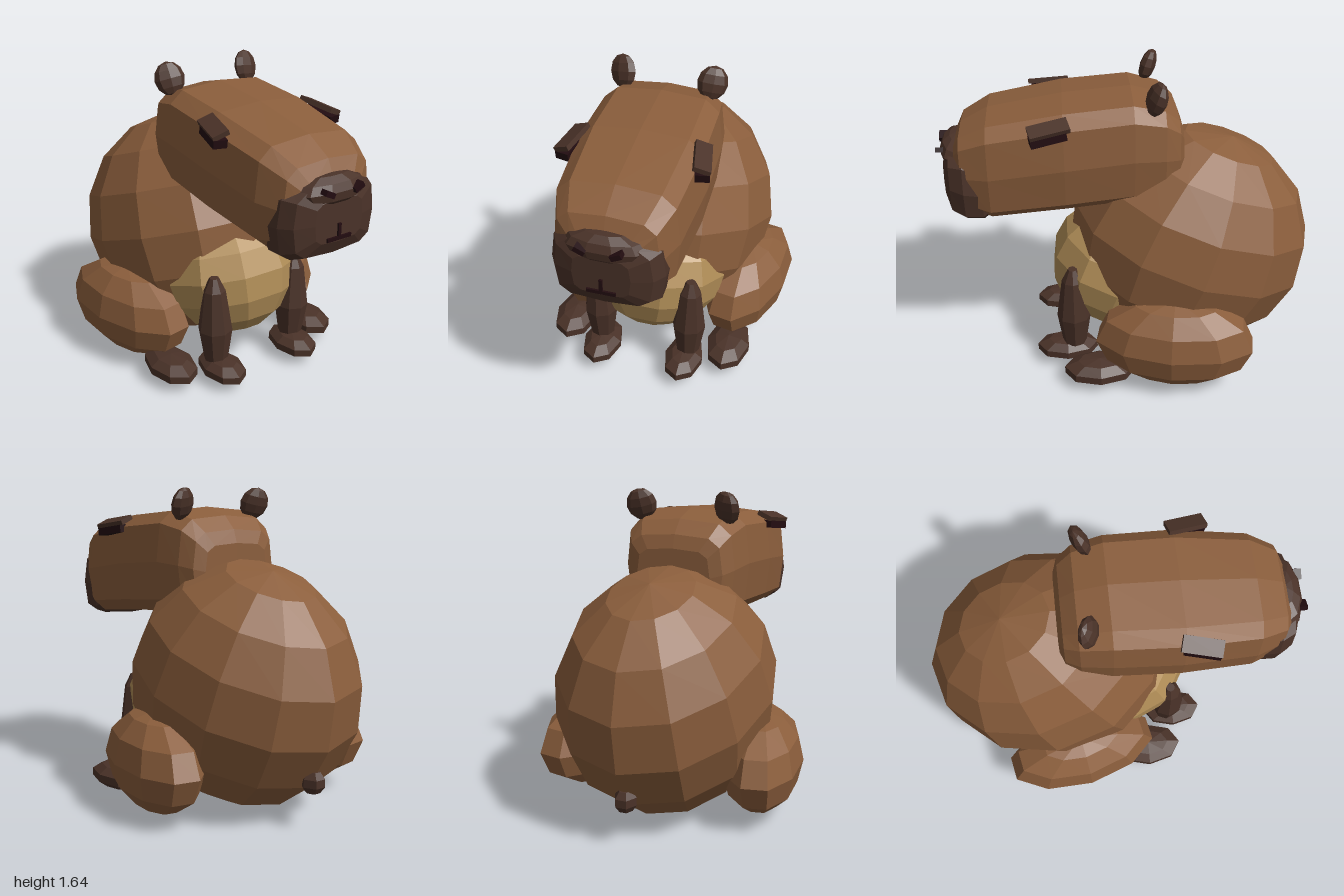
import * as THREE from 'three';

const material = (name, color) => {
  const m = new THREE.MeshStandardMaterial({ color, flatShading: true });
  m.name = name;
  return m;
};

// Lofts rounded-box sections [z, top, bottom, halfWidth], listed back to front
function loft(sections, sides = 12) {
  const pos = [], index = [];
  for (const [z, top, bottom, w] of sections) {
    for (let i = 0; i < sides; i++) {
      const a = (i / sides) * Math.PI * 2;
      const soft = (v) => Math.sign(v) * Math.sqrt(Math.abs(v) < 1e-9 ? 0 : Math.abs(v));
      pos.push(w * soft(Math.cos(a)), (top + bottom) / 2 + ((top - bottom) / 2) * soft(Math.sin(a)), z);
    }
  }
  const last = sections.length - 1;
  const back = pos.length / 3, front = back + 1;
  for (const s of [0, last]) pos.push(0, (sections[s][1] + sections[s][2]) / 2, sections[s][0]);
  for (let i = 0; i < sides; i++) {
    const j = (i + 1) % sides;
    for (let s = 0; s < last; s++) {
      const a = s * sides, b = a + sides;
      index.push(a + i, a + j, b + j, a + i, b + j, b + i);
    }
    index.push(back, j, i, front, last * sides + i, last * sides + j);
  }
  const g = new THREE.BufferGeometry();
  g.setAttribute('position', new THREE.Float32BufferAttribute(pos, 3));
  g.setIndex(index);
  g.computeVertexNormals();
  return g;
}

export function createModel() {
  const fur = material('brown fur', 0x8b5e3c);
  const dark = material('dark brown', 0x4a3228);
  const tan = material('tan chest', 0xb08d57);
  const black = material('near black', 0x220c10);

  const model = new THREE.Group();
  model.name = 'sittingRodent';

  const add = (name, geometry, mat, position = [0, 0, 0], rotation = [0, 0, 0]) => {
    const mesh = new THREE.Mesh(geometry, mat);
    mesh.name = name;
    mesh.position.set(...position);
    mesh.rotation.set(...rotation);
    model.add(mesh);
    return mesh;
  };
  const ball = (rx, ry, rz, w, h) => new THREE.SphereGeometry(1, w, h).scale(rx, ry, rz);
  // Adds a part on both sides, mirrored in x
  const pair = (name, geometry, mat, [x, y, z], [rx, ry, rz] = [0, 0, 0]) => {
    add(name + 'Left', geometry, mat, [x, y, z], [rx, ry, rz]);
    add(name + 'Right', geometry, mat, [-x, y, z], [rx, -ry, -rz]);
  };

  // Body, chest and tail
  add('body', ball(0.565, 0.635, 0.67, 12, 8), fur, [0, 0.64, -0.33], [-0.35, 0, 0]);
  add('chest', ball(0.39, 0.35, 0.345, 10, 8), tan, [0, 0.5, 0.1], [-0.3, 0, 0]);
  add('tail', ball(0.06, 0.065, 0.07, 6, 5), dark, [0, 0.24, -0.855]);

  // Head and muzzle
  add('head', loft([
    [-0.26, 1.36, 1.08, 0.2],
    [-0.235, 1.43, 1.04, 0.26],
    [-0.16, 1.5, 1.0, 0.3],
    [0, 1.543, 0.98, 0.325],
    [0.35, 1.515, 0.95, 0.335],
    [0.73, 1.45, 0.91, 0.305],
    [0.87, 1.375, 0.96, 0.25],
    [0.915, 1.28, 1.05, 0.17],
  ]), fur);
  add('muzzle', loft([
    [0.7, 1.22, 0.95, 0.24],
    [0.77, 1.25, 0.895, 0.27],
    [0.86, 1.28, 0.9, 0.275],
    [0.93, 1.27, 0.93, 0.235],
    [0.965, 1.21, 1.0, 0.14],
  ]), dark);

  // Nose, nostrils and mouth
  add('nose', ball(0.2, 0.08, 0.09, 10, 6), dark, [0, 1.238, 0.898], [-0.15, 0, 0]);
  pair('nostril', new THREE.BoxGeometry(0.055, 0.026, 0.04), black, [0.085, 1.256, 0.978], [0, 0, 0.45]);
  add('mouthLine', new THREE.BoxGeometry(0.14, 0.018, 0.03), black, [0, 1.02, 0.96]);
  add('lipLine', new THREE.BoxGeometry(0.016, 0.075, 0.03), black, [0, 1.055, 0.96]);

  // Eyes, lids and ears
  pair('eye', new THREE.BoxGeometry(0.07, 0.042, 0.18), black, [0.325, 1.413, 0.425], [0.14, 0.2, 0]);
  pair('eyelid', new THREE.BoxGeometry(0.085, 0.026, 0.2), dark, [0.322, 1.457, 0.42], [0.14, 0.2, -0.4]);
  pair('ear', ball(0.08, 0.088, 0.042, 8, 6), dark, [0.237, 1.56, -0.112], [-0.3, 0.35, -0.1]);

  // Haunches and hind feet
  pair('haunch', ball(0.215, 0.255, 0.435, 10, 6), fur, [0.48, 0.278, -0.2], [0, -0.2, 0]);
  pair('hindFoot', ball(0.125, 0.067, 0.2, 8, 5), dark, [0.455, 0.088, 0.2]);

  // Tapered front legs and feet
  const legProfile = [[0, 0.1], [0.065, 0.13], [0.092, 0.31], [0.06, 0.54], [0.025, 0.61], [0, 0.61]]
    .map(([r, y]) => new THREE.Vector2(r, y));
  pair('frontLeg', new THREE.LatheGeometry(legProfile, 8), dark, [0.247, 0, 0.33], [0, 0, -0.02]);
  pair('frontFoot', ball(0.11, 0.062, 0.175, 8, 5), dark, [0.238, 0.085, 0.37]);

  return model;
}
